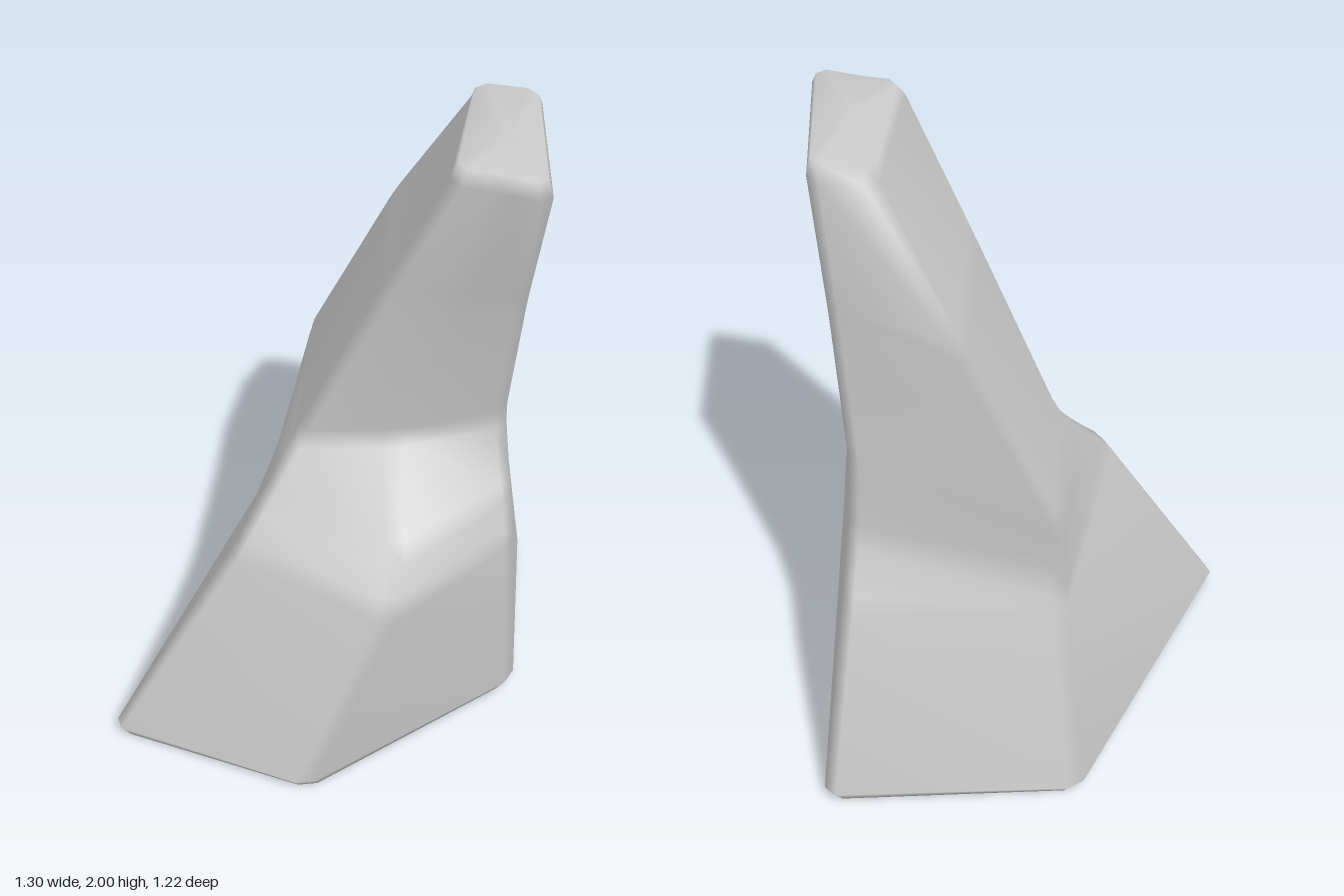
import * as THREE from 'three';

// Five ridges of the rock, each followed from base to top (x, y, z)
const RIDGES = [
  [[-.13, .04, -.61], [-.09, .67, -.46], [-.08, .83, -.475], [-.07, 1.0, -.495], [.19, 1.55, -.41], [.4, 1.96, -.23]],
  [[.65, .04, -.6], [.565, .66, -.43], [.54, .83, -.31], [.525, 1.08, -.29], [.555, 1.55, -.235], [.59, 1.96, -.19]],
  [[.6, .04, .13], [.565, .67, .17], [.55, .83, .15], [.525, 1.08, .12], [.555, 1.55, .25], [.59, 1.96, .4]],
  [[-.05, .04, .62], [.2, .67, .55], [.21, .78, .42], [.2, 1.02, .15], [.33, 1.55, .25], [.455, 1.96, .35]],
  [[-.67, .04, .38], [-.28, .7, .29], [-.2, .82, .2], [-.1, .98, .11], [.14, 1.55, .22], [.32, 1.96, .31]],
];
const BEVEL = 0.035;

const toward = (a, b, d) => b.clone().sub(a).setLength(d).add(a);

// Replace every bend of a ridge by two points, so the bend becomes a narrow bevel
function bevelPath(points) {
  const p = points.map((c) => new THREE.Vector3(...c));
  return p.flatMap((q, i) =>
    i === 0 || i === p.length - 1 ? [q] : [toward(q, p[i - 1], BEVEL), toward(q, p[i + 1], BEVEL)]);
}

// Cut each corner of a ring into two points
function bevelRing(ring) {
  const n = ring.length;
  return ring.flatMap((q, i) =>
    [toward(q, ring[(i + n - 1) % n], BEVEL), toward(q, ring[(i + 1) % n], BEVEL)]);
}

const centreOf = (ring) =>
  ring.reduce((s, p) => s.add(p), new THREE.Vector3()).divideScalar(ring.length);

// Shrink a ring a little and lay it flat at height y, for the bevelled ends
function insetRing(ring, y) {
  const c = centreOf(ring);
  return ring.map((p) => toward(p, c, 0.03).setY(y));
}

function rockGeometry() {
  const paths = RIDGES.map(bevelPath);
  const rings = paths[0].map((_, level) => bevelRing(paths.map((path) => path[level])));
  rings.unshift(insetRing(rings[0], 0));
  rings.push(insetRing(rings[rings.length - 1], 2));

  const n = rings[0].length;
  const points = rings.flat();
  const index = [];
  for (let l = 0; l < rings.length - 1; l++) {
    for (let i = 0; i < n; i++) {
      const j = (i + 1) % n;
      const a = l * n + i, b = l * n + j;
      index.push(a, a + n, b + n, a, b + n, b);
    }
  }

  // Flat ends
  const top = (rings.length - 1) * n;
  const bottomCentre = points.push(centreOf(rings[0])) - 1;
  const topCentre = points.push(centreOf(rings[rings.length - 1])) - 1;
  for (let i = 0; i < n; i++) {
    const j = (i + 1) % n;
    index.push(bottomCentre, i, j, topCentre, top + j, top + i);
  }

  const geometry = new THREE.BufferGeometry().setFromPoints(points);
  geometry.setIndex(index);
  geometry.computeVertexNormals(); // large faces dominate, bevels carry the shading
  return geometry;
}

export function createModel() {
  const group = new THREE.Group();
  group.name = 'leaningRock';
  const rock = new THREE.Mesh(rockGeometry(), new THREE.MeshStandardMaterial({ color: 0xcccccc }));
  rock.name = 'rockPillar';
  group.add(rock);
  return group;
}
